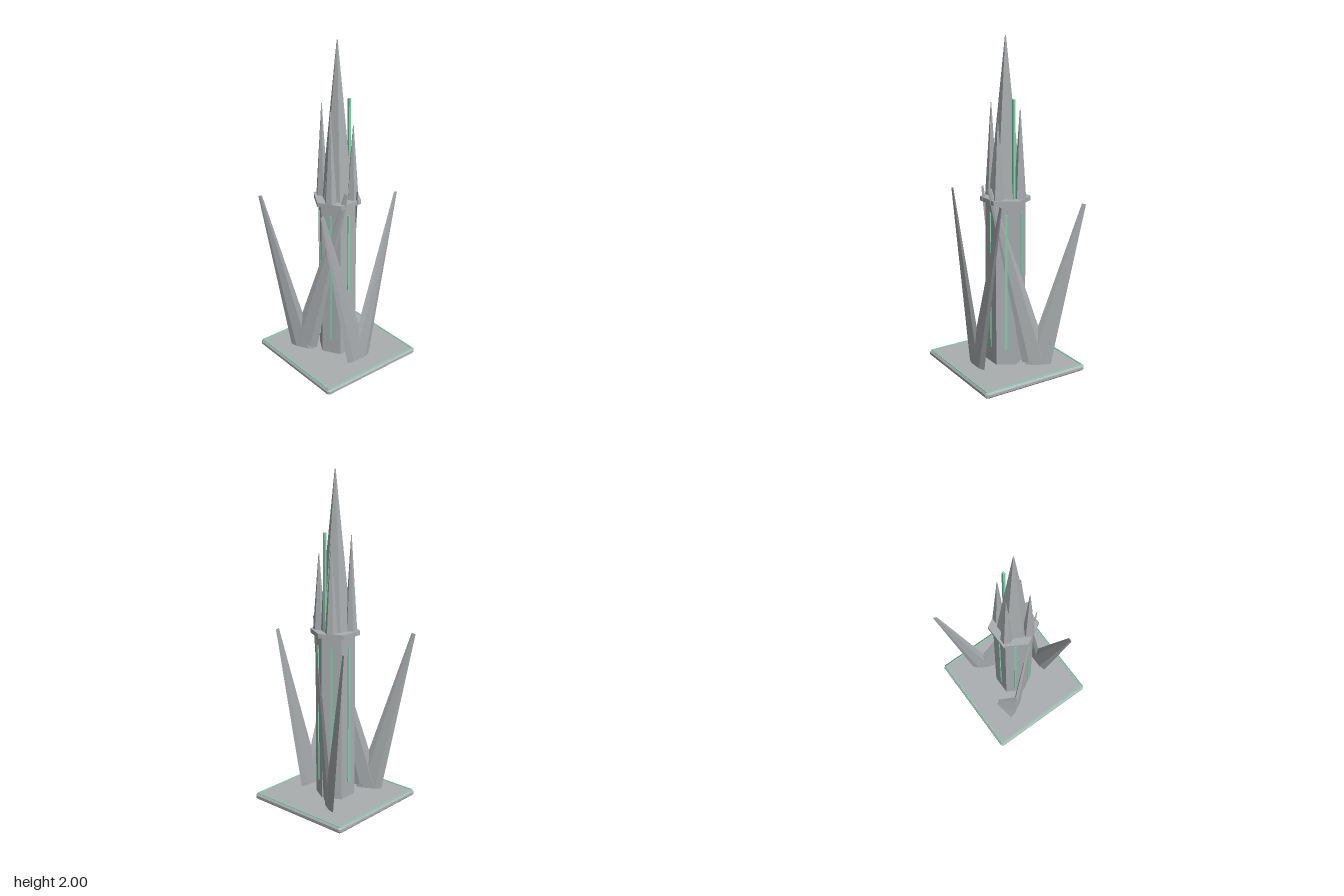
import * as THREE from 'three';

export function createModel() {
  const model = new THREE.Group();
  model.name = 'crystalTower';

  const stone = new THREE.MeshStandardMaterial({ color: 0xaaaeb0 });
  stone.name = 'greyStone';
  const glow = new THREE.MeshStandardMaterial({ color: 0x7fd4ae });
  glow.name = 'mintGlow';

  // Faceted normals for low-poly parts
  const faceted = (geometry) => {
    const flat = geometry.index ? geometry.toNonIndexed() : geometry;
    flat.computeVertexNormals();
    return flat;
  };

  const add = (parent, name, geometry, material, x = 0, y = 0, z = 0) => {
    const mesh = new THREE.Mesh(geometry, material);
    mesh.name = name;
    mesh.position.set(x, y, z);
    parent.add(mesh);
    return mesh;
  };

  // Six-sided prism or spire standing on y = 0
  const hex = (top, bottom, height) =>
    faceted(new THREE.CylinderGeometry(top, bottom, height, 6).translate(0, height / 2, 0));

  // Bevelled base plate with clipped corners
  const h = 0.333, c = 0.326;
  const outline = new THREE.Shape([
    [h, -c], [h, c], [c, h], [-c, h], [-h, c], [-h, -c], [-c, -h], [c, -h],
  ].map(([x, y]) => new THREE.Vector2(x, y)));
  const plate = new THREE.ExtrudeGeometry(outline, {
    depth: 0.015, bevelEnabled: true, bevelThickness: 0.01, bevelSize: 0.01, bevelSegments: 1,
  });
  plate.rotateX(-Math.PI / 2);
  add(model, 'basePlate', faceted(plate), stone, 0, 0.06, 0);

  // Glowing border around the plate
  for (const side of [-1, 1]) {
    add(model, 'borderStrip', new THREE.BoxGeometry(0.664, 0.004, 0.007), glow, 0, 0.086, side * 0.3285);
    add(model, 'borderStrip', new THREE.BoxGeometry(0.007, 0.004, 0.65), glow, side * 0.3285, 0.086, 0);
  }

  // Tower shaft, collar and main spire
  add(model, 'towerShaft', hex(0.117, 0.117, 0.99), stone, 0, 0.083, 0);
  add(model, 'collar', hex(0.145, 0.145, 0.026), stone, 0, 1.07, 0);
  add(model, 'mainSpire', hex(0.003, 0.095, 0.905), stone, 0, 1.095, 0);

  // A glowing strip on the middle of each shaft face
  for (let i = 0; i < 6; i++) {
    const a = (i * Math.PI) / 3;
    const strip = add(model, 'glowStrip', new THREE.BoxGeometry(0.009, 0.83, 0.012), glow,
      Math.cos(a) * 0.103, 0.595, Math.sin(a) * 0.103);
    strip.rotation.y = -a;
  }

  // Small spires: x, z, height
  const spires = [
    [-0.044, -0.083, 0.51],
    [0.081, -0.048, 0.44],
    [-0.081, 0.045, 0.545],
    [0.044, 0.083, 0.535],
  ];
  for (const [x, z, height] of spires) {
    add(model, 'smallSpire', hex(0.002, 0.036, height), stone, x, 1.095, z);
  }

  // Antenna behind the main spire
  add(model, 'antenna', new THREE.BoxGeometry(0.014, 0.57, 0.014), glow, 0, 1.375, -0.087);

  // Three pairs of flattened crystal blades, each pair forming a V
  const blade = new THREE.CylinderGeometry(0.012, 0.08, 1.08, 6).translate(0, 0.54, 0).scale(0.2, 1, 1);
  const bladeGeometry = faceted(blade);
  for (let i = 0; i < 3; i++) {
    const a = (i * Math.PI * 2) / 3;
    const pair = new THREE.Group();
    pair.name = 'crystalPair';
    pair.position.set(0.2 * Math.cos(a), 0.07, 0.2 * Math.sin(a));
    pair.rotation.y = a;
    for (const side of [-1, 1]) {
      // Blades near the tower sit higher, outer ones pierce the plate
      const lift = side * Math.sin(a) * 0.054;
      add(pair, 'crystalBlade', bladeGeometry, stone, 0, lift, 0).rotation.x = side * 0.25;
    }
    model.add(pair);
  }

  return model;
}
